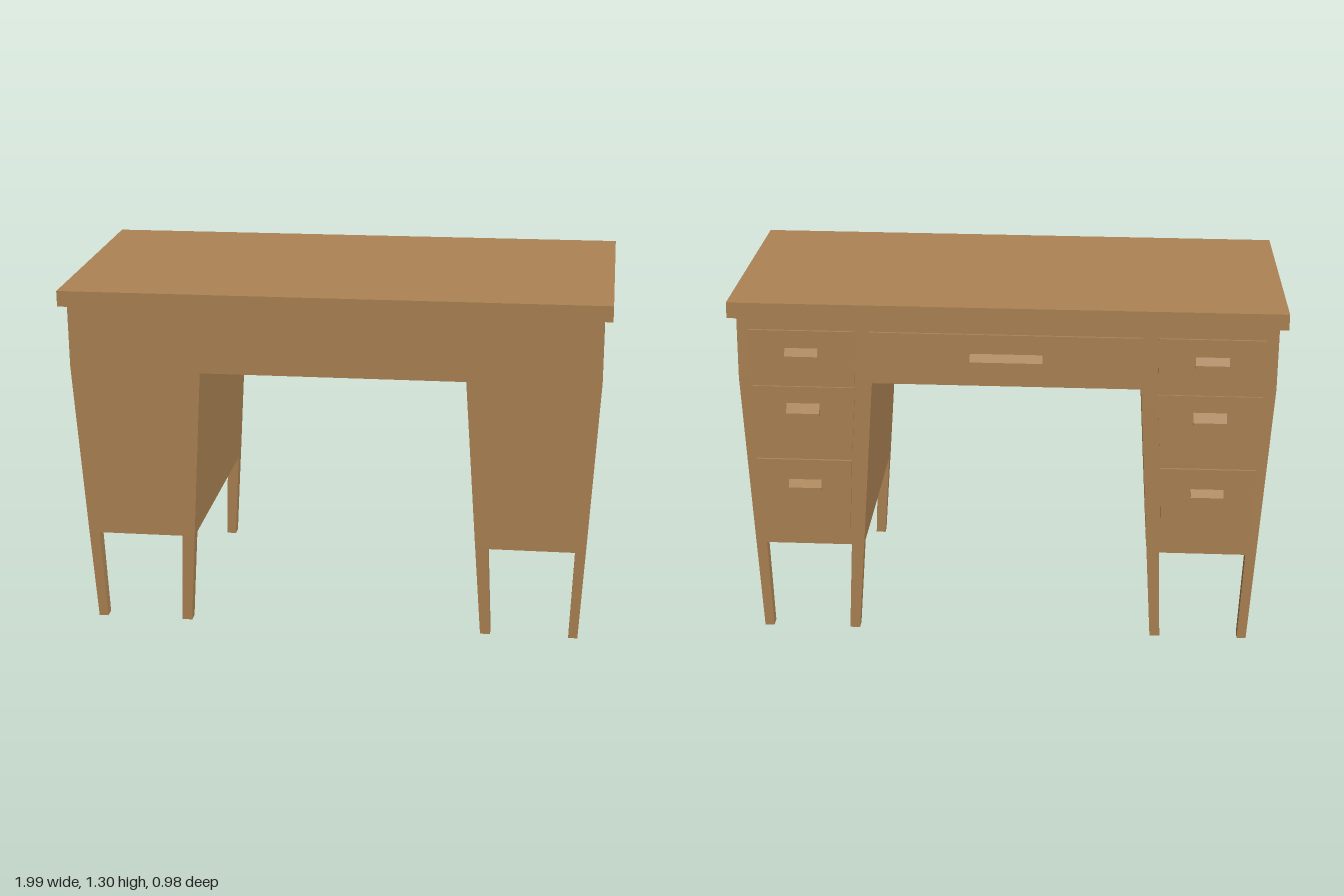
import * as THREE from 'three';

const wood = new THREE.MeshStandardMaterial({ color: 0xad8454, flatShading: true });

// Extrude an x/y outline between two z planes
function slabFromOutline(name, points, zMin, zMax) {
  const shape = new THREE.Shape(points.map(([x, y]) => new THREE.Vector2(x, y)));
  const geo = new THREE.ExtrudeGeometry(shape, { depth: zMax - zMin, bevelEnabled: false });
  geo.translate(0, 0, zMin);
  const mesh = new THREE.Mesh(geo, wood);
  mesh.name = name;
  return mesh;
}

// Tapered leg: a box whose top and bottom rectangles are [x0, x1, z0, z1]
function taperedLeg(name, yTop, top, yBottom, bottom) {
  const geo = new THREE.BoxGeometry(1, 1, 1);
  const p = geo.attributes.position;
  for (let i = 0; i < p.count; i++) {
    const r = p.getY(i) > 0 ? top : bottom;
    p.setXYZ(i, p.getX(i) < 0 ? r[0] : r[1], p.getY(i) > 0 ? yTop : yBottom, p.getZ(i) < 0 ? r[2] : r[3]);
  }
  geo.computeVertexNormals();
  const mesh = new THREE.Mesh(geo, wood);
  mesh.name = name;
  return mesh;
}

// Wedge-shaped pull, sloping outward towards -z at its lower edge
function handle(name, x, yTop, width) {
  const profile = new THREE.Shape([[0, 0], [0.019, -0.038], [0.019, -0.05], [0, -0.05]]
    .map(([u, v]) => new THREE.Vector2(u, v)));
  const geo = new THREE.ExtrudeGeometry(profile, { depth: width, bevelEnabled: false });
  geo.translate(0, 0, -width / 2);
  geo.rotateY(Math.PI / 2);
  const mesh = new THREE.Mesh(geo, wood);
  mesh.name = name;
  mesh.position.set(x, yTop, -0.47);
  return mesh;
}

export function createModel() {
  const model = new THREE.Group();
  model.name = 'desk';
  const desk = new THREE.Group();
  desk.name = 'deskParts';
  model.add(desk);

  // Table top
  const top = new THREE.Mesh(new THREE.BoxGeometry(1.992, 0.058, 0.98), wood);
  top.name = 'tableTop';
  top.position.set(0, 1.259, 0);
  desk.add(top);

  // Two tapering pedestals joined by the apron over the kneehole
  const half = [[0.966, 1.23], [0.966, 1.0], [0.927, 0.35], [0.524, 0.35], [0.484, 0.988]];
  const outline = [...half, ...half.slice().reverse().map(([x, y]) => [-x, y])];
  desk.add(slabFromOutline('body', outline, -0.465, 0.468));

  const spread = (a, b, s) => [Math.min(a * s, b * s), Math.max(a * s, b * s)];
  for (const s of [-1, 1]) {
    const side = s > 0 ? 'left' : 'right';

    // Four legs under each pedestal
    for (const [end, zTop, zBottom] of [
      ['Front', [0.417, 0.468], [0.421, 0.464]],
      ['Back', [-0.465, -0.416], [-0.465, -0.42]],
    ]) {
      desk.add(taperedLeg(side + end + 'OuterLeg', 0.352, [...spread(0.888, 0.927, s), ...zTop],
        0.008, [...spread(0.872, 0.906, s), ...zBottom]));
      desk.add(taperedLeg(side + end + 'InnerLeg', 0.352, [...spread(0.524, 0.57, s), ...zTop],
        0.008, [...spread(0.546, 0.583, s), ...zBottom]));
    }

    // Three drawers with narrowing fronts
    [
      [1.183, 0.985, 0.922, 0.918, 0.542, 0.546, 0.475, 1.128],
      [0.97, 0.705, 0.917, 0.91, 0.546, 0.56, 0.472, 0.911],
      [0.688, 0.386, 0.912, 0.894, 0.562, 0.574, 0.475, 0.621],
    ].forEach(([yTop, yBottom, outTop, outBottom, inTop, inBottom, z, handleY], i) => {
      desk.add(slabFromOutline(side + 'Drawer' + (i + 1),
        [[outTop * s, yTop], [outBottom * s, yBottom], [inBottom * s, yBottom], [inTop * s, yTop]],
        -z, -0.46));
      desk.add(handle(side + 'Handle' + (i + 1), 0.735 * s, handleY, 0.12));
    });
  }

  // Wide pencil drawer above the kneehole
  desk.add(slabFromOutline('centreDrawer',
    [[-0.49, 1.183], [-0.49, 1.015], [0.49, 1.015], [0.49, 1.183]], -0.475, -0.46));
  desk.add(handle('centreHandle', 0, 1.122, 0.26));

  // The whole desk leans very slightly
  desk.rotation.z = 0.008;
  desk.position.x = 0.008;
  return model;
}
